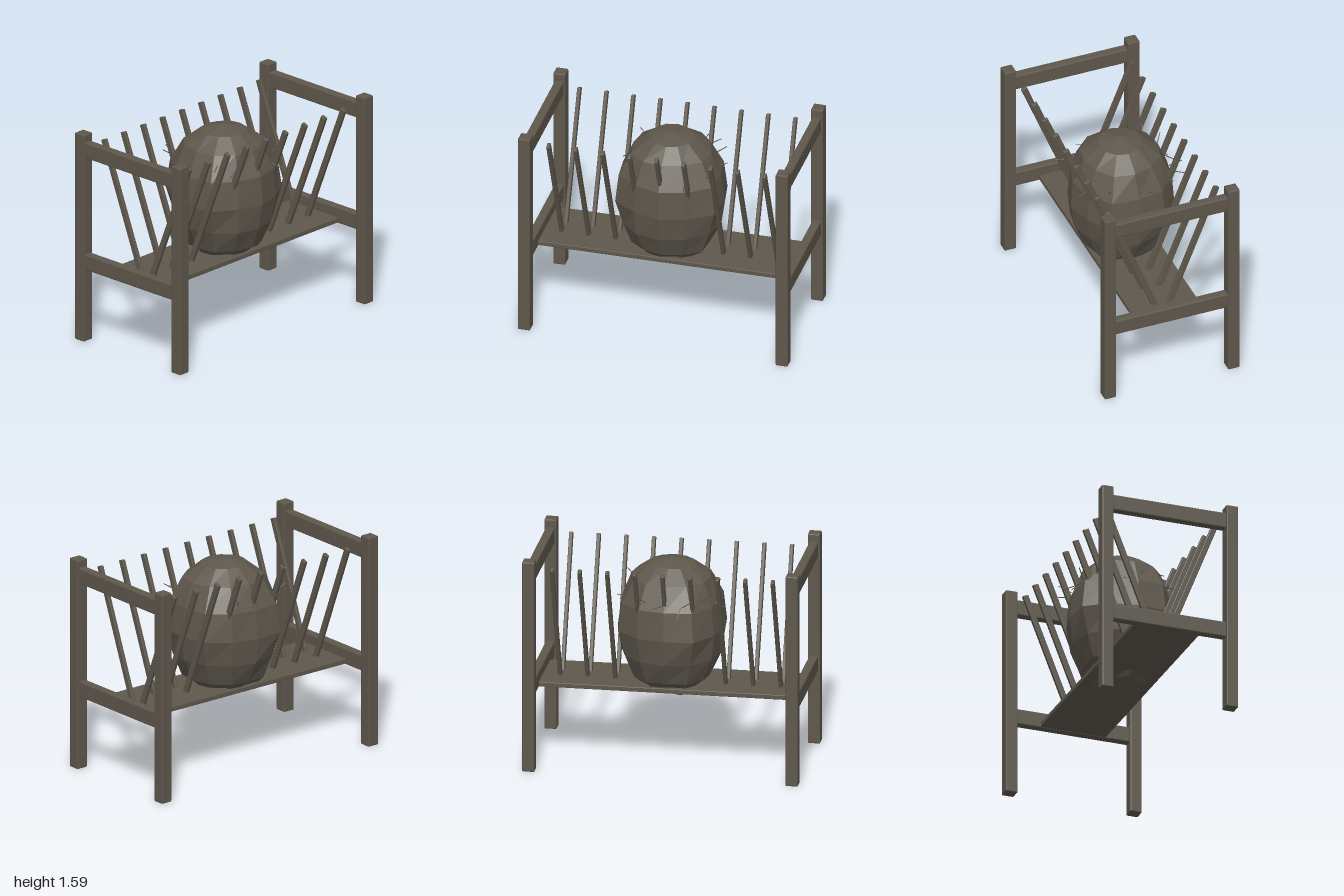
import * as THREE from 'three';
import { RoundedBoxGeometry } from 'three/addons/geometries/RoundedBoxGeometry.js';

const wood = new THREE.MeshStandardMaterial({ color: 0x5e574c });
wood.name = 'weathered brown';

function facet(geometry) {
  const g = geometry.index ? geometry.toNonIndexed() : geometry;
  g.computeVertexNormals();
  return g;
}

// Box with a narrow chamfer
function beam(name, w, h, d, x, y, z, chamfer = 0.008) {
  const mesh = new THREE.Mesh(facet(new RoundedBoxGeometry(w, h, d, 1, chamfer)), wood);
  mesh.name = name;
  mesh.position.set(x, y, z);
  return mesh;
}

// Faceted egg: 12 uneven columns, 8 rows, pinched underneath
function boulder() {
  const columns = [0.38, 0.38, 0.42, 0.385, 0.39, 0.43, 0.385, 0.39, 0.41, 0.39, 0.43, 0.38];
  // [height, radius relative to the column]
  const rows = [[0.495, 0], [0.52, 0.4], [0.635, 0.73], [0.8, 0.915], [0.99, 1],
    [1.2, 0.95], [1.375, 0.74], [1.47, 0.42], [1.51, 0]];
  const point = (r, c) => {
    const i = c % 12, a = i * Math.PI / 6;
    const wobble = 1 + 0.025 * Math.sin(i * 2.3 + r * 1.9);
    const lobe = r === 1 ? 1 + 0.15 * (i % 2 ? 1 : -1) : 1;
    const even = r === 4 ? 1 : 0.5; // columns differ most at the widest row
    const radius = (0.39 + (columns[i] - 0.39) * even) * rows[r][1] * (r === 4 ? 1 : wobble) * lobe;
    return [Math.cos(a) * radius, rows[r][0], Math.sin(a) * radius];
  };
  const p = [];
  for (let r = 0; r < rows.length - 1; r++) {
    for (let c = 0; c < 12; c++) {
      const a = point(r, c), b = point(r, c + 1), d = point(r + 1, c), e = point(r + 1, c + 1);
      if (r > 0) p.push(...a, ...d, ...b);
      if (r === 0) p.push(...a, ...d, ...e);
      else if (r < rows.length - 2) p.push(...b, ...d, ...e);
    }
  }
  const g = new THREE.BufferGeometry();
  g.setAttribute('position', new THREE.Float32BufferAttribute(p, 3));
  const mesh = new THREE.Mesh(facet(g), wood);
  mesh.name = 'boulder';
  return mesh;
}

// Thin straw between two points
function straw(a, b) {
  const from = new THREE.Vector3(...a), to = new THREE.Vector3(...b);
  const dir = to.clone().sub(from);
  const mesh = new THREE.Mesh(facet(new THREE.CylinderGeometry(0.003, 0.004, dir.length(), 4)), wood);
  mesh.name = 'straw';
  mesh.position.copy(from).add(to).multiplyScalar(0.5);
  mesh.quaternion.setFromUnitVectors(new THREE.Vector3(0, 1, 0), dir.normalize());
  return mesh;
}

export function createModel() {
  const model = new THREE.Group();
  model.name = 'hayRack';

  // End frames: two posts and two rails each
  for (const s of [1, -1]) {
    const frame = new THREE.Group();
    frame.name = s > 0 ? 'frontFrame' : 'backFrame';
    for (const side of [1, -1]) {
      frame.add(beam(side > 0 ? 'leftPost' : 'rightPost', 0.09, 1.585, 0.09, side * 0.476, 0.7925, s * 0.955));
    }
    frame.add(beam('topRail', 0.9, 0.118, 0.064, 0, 1.467, s * 0.955));
    frame.add(beam('lowerRail', 0.9, 0.118, 0.064, 0, 0.608, s * 0.955));
    model.add(frame);
  }

  // Floor plank
  model.add(beam('floorPlank', 0.5, 0.036, 1.88, 0, 0.574, 0, 0.005));

  // Slanted slats on both sides
  const tilt = Math.atan2(0.36, 0.915);
  for (const side of [1, -1]) {
    const slats = new THREE.Group();
    slats.name = side > 0 ? 'leftSlats' : 'rightSlats';
    for (let i = -4; i <= 4; i++) {
      const slat = beam('slat', 0.044, 1.0, 0.027, side * 0.236, 1.04, i * 0.2, 0.005);
      slat.rotation.z = -side * tilt;
      slats.add(slat);
    }
    model.add(slats);
  }

  model.add(boulder());

  // Loose straws sticking out around the upper part
  const straws = new THREE.Group();
  straws.name = 'straws';
  const ends = [
    [[-0.31, 1.24, -0.17], [-0.39, 1.26, -0.26]],
    [[-0.32, 1.26, -0.14], [-0.4, 1.32, -0.19]],
    [[-0.2, 1.24, -0.25], [-0.28, 1.27, -0.33]],
    [[-0.09, 1.22, -0.33], [-0.11, 1.24, -0.38]],
    [[0.18, 1.26, -0.28], [0.24, 1.32, -0.36]],
    [[0.3, 1.24, -0.17], [0.4, 1.22, -0.19]],
    [[-0.34, 1.25, 0.0], [-0.41, 1.24, -0.08]],
    [[-0.33, 1.24, 0.12], [-0.41, 1.16, 0.1]],
    [[-0.33, 1.24, 0.13], [-0.39, 1.3, 0.2]],
    [[-0.26, 1.25, 0.22], [-0.3, 1.32, 0.32]],
    [[-0.1, 1.22, 0.32], [-0.1, 1.18, 0.39]],
    [[0.02, 1.27, 0.31], [0.05, 1.28, 0.34]],
    [[0.18, 1.32, 0.25], [0.21, 1.28, 0.32]],
    [[0.27, 1.24, 0.22], [0.4, 1.25, 0.24]],
    [[0.27, 1.25, 0.2], [0.35, 1.3, 0.15]],
  ];
  for (const [a, b] of ends) straws.add(straw(a, b));
  model.add(straws);

  return model;
}
